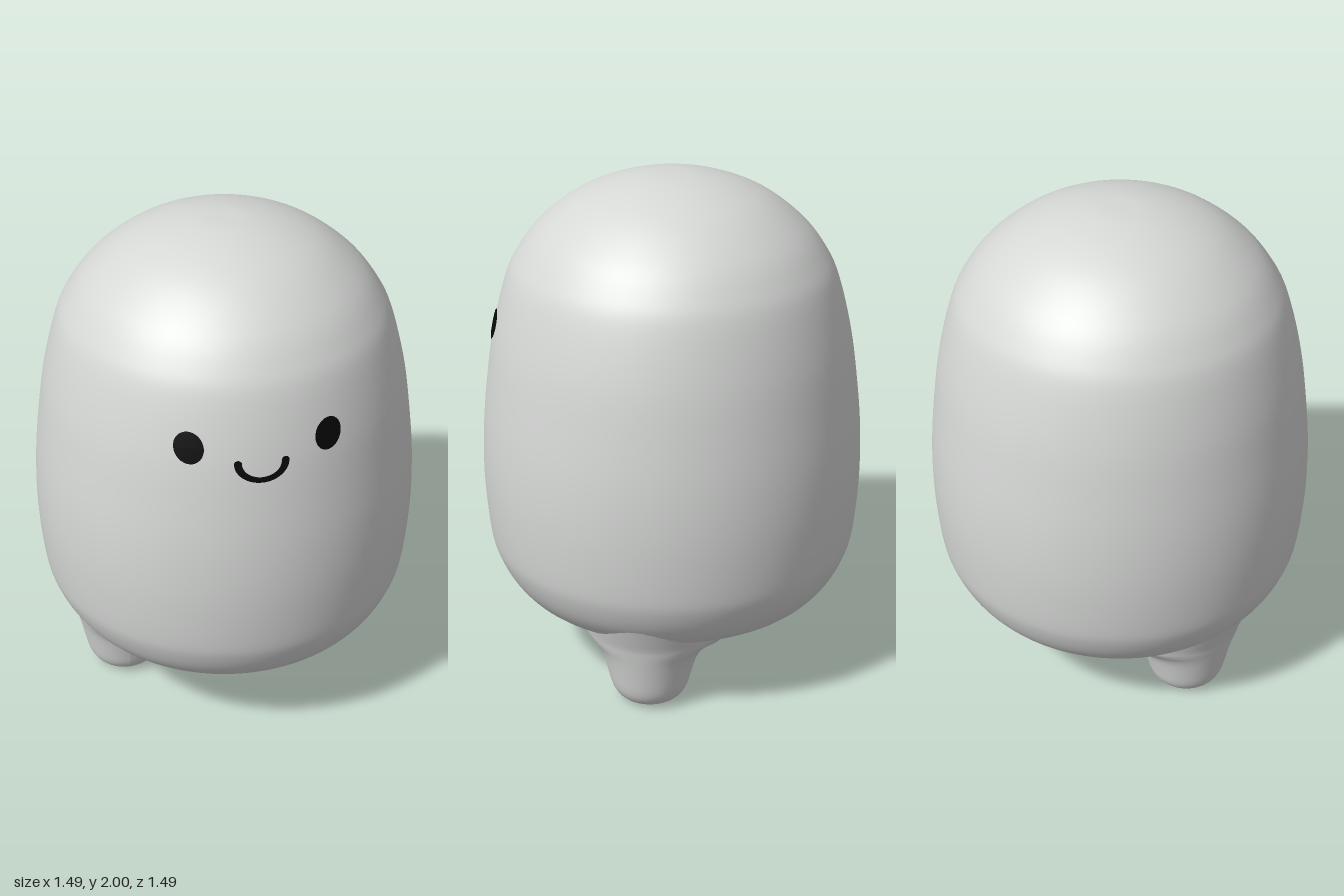
import * as THREE from 'three';

// Body profile as [radius, height], bottom to top
const PROFILE = [
  [0, 0.24], [0.2, 0.241], [0.33, 0.258], [0.47, 0.285], [0.585, 0.325], [0.66, 0.4],
  [0.71, 0.5], [0.731, 0.6], [0.744, 0.8], [0.739, 1.0], [0.718, 1.2], [0.687, 1.4],
  [0.635, 1.6], [0.587, 1.7], [0.51, 1.8], [0.385, 1.9], [0.25, 1.962], [0.11, 1.995], [0, 2.0],
];
const bodyPoints = new THREE.SplineCurve(PROFILE.map(([r, y]) => new THREE.Vector2(r, y))).getPoints(90);
bodyPoints.forEach((p) => { p.x = Math.max(0, p.x); });
bodyPoints[0].x = bodyPoints[bodyPoints.length - 1].x = 0;

// Body radius at a given height
function bodyRadius(y) {
  const i = bodyPoints.findIndex((p) => p.y > y && p.x > 0.6);
  const a = bodyPoints[i - 1], b = bodyPoints[i];
  return a.x + (b.x - a.x) * (y - a.y) / (b.y - a.y);
}

// Lays a flat shape in the xy plane onto the front of the body
function wrapOnFront(geometry) {
  const pos = geometry.attributes.position;
  for (let i = 0; i < pos.count; i++) {
    const x = pos.getX(i), r = bodyRadius(pos.getY(i)) + 0.007;
    pos.setZ(i, Math.sqrt(r * r - x * x));
  }
  geometry.computeVertexNormals();
  return geometry;
}

// Rounded foot, flared into the belly but kept slim on its outer side
function legGeometry(side) {
  const cx = 0.425;
  const pts = [
    [0, 0], [0.075, 0.002], [0.12, 0.02], [0.148, 0.06], [0.165, 0.12], [0.183, 0.18],
    [0.2, 0.212], [0.228, 0.238], [0.265, 0.262], [0.29, 0.3], [0.29, 0.4], [0.27, 0.52],
  ].map(([r, y]) => new THREE.Vector2(r, y));
  const curve = new THREE.SplineCurve(pts).getPoints(44);
  curve[0].x = 0;
  const geometry = new THREE.LatheGeometry(curve, 48);
  const pos = geometry.attributes.position;
  for (let i = 0; i < pos.count; i++) {
    const x = pos.getX(i), y = pos.getY(i), z = pos.getZ(i);
    const r = Math.hypot(x, z);
    if (r < 1e-5) continue;
    const outward = Math.max(0, (x * side) / r);
    const slim = Math.min(r, y < 0.3 ? 0.14 + 0.2 * y : 0.2 + 0.37 * (y - 0.3));
    const k = (r + (slim - r) * Math.sqrt(outward)) / r;
    pos.setXYZ(i, x * k, y, z * k);
  }
  geometry.translate(side * cx, 0, 0);
  geometry.computeVertexNormals();
  return geometry;
}

export function createModel() {
  const model = new THREE.Group();
  const skin = new THREE.MeshStandardMaterial({ color: 0xd6d8d6 });
  skin.name = 'pale grey skin';
  const black = new THREE.MeshStandardMaterial({ color: 0x080808 });
  black.name = 'black face';

  const add = (name, geometry, material, parent = model) => {
    const mesh = new THREE.Mesh(geometry, material);
    mesh.name = name;
    parent.add(mesh);
  };

  add('body', new THREE.LatheGeometry(bodyPoints, 96), skin);

  // Legs and eyes, mirrored
  for (const [label, side] of [['left', 1], ['right', -1]]) {
    add(label + 'Leg', legGeometry(side), skin);
    const eye = new THREE.RingGeometry(0, 1, 32, 4).scale(0.051, 0.059, 1);
    add(label + 'Eye', wrapOnFront(eye.translate(side * 0.25, 1.442, 0)), black);
  }

  // Smile: half ring with rounded ends
  const mouth = new THREE.Group();
  mouth.name = 'mouth';
  model.add(mouth);
  const smile = new THREE.RingGeometry(0.071, 0.099, 32, 2, Math.PI, Math.PI);
  add('smile', wrapOnFront(smile.scale(1, 0.75, 1).translate(0, 1.386, 0)), black, mouth);
  for (const side of [1, -1]) {
    const end = new THREE.CircleGeometry(0.0145, 16).translate(side * 0.085, 1.386, 0);
    add('smileEnd', wrapOnFront(end), black, mouth);
  }
  return model;
}
